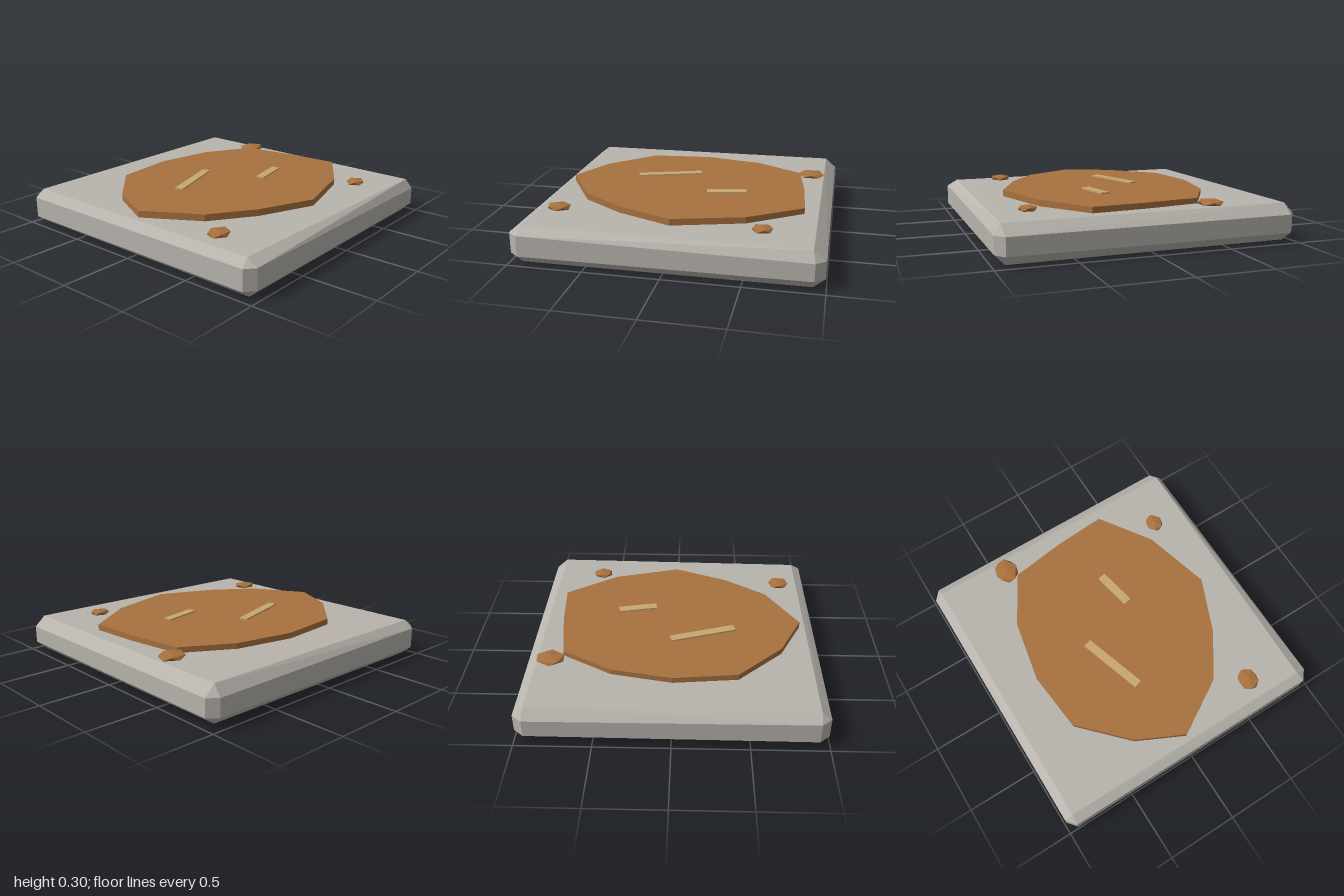
import * as THREE from 'three';
import { ConvexGeometry } from 'three/addons/geometries/ConvexGeometry.js';

const flat = (name, color) => {
  const m = new THREE.MeshStandardMaterial({ color });
  m.flatShading = true;
  m.name = name;
  return m;
};

export function createModel() {
  const model = new THREE.Group();
  const stone = flat('stone grey', 0xb8b4ad);
  const mud = flat('mud brown', 0xa8713f);
  const straw = flat('straw tan', 0xc8a772);
  const add = (name, geometry, material) => {
    const mesh = new THREE.Mesh(geometry, material);
    mesh.name = name;
    model.add(mesh);
    return mesh;
  };

  // Slab: each corner has a top, bottom, side and end point, so every edge is bevelled
  const corners = [
    // sx, sz, top x, top z, top y, shoulder y, skirt y, bottom y
    [-1, 1, 0.93, 0.91, 0.243, 0.20, 0.06, 0.0],
    [1, 1, 0.915, 0.94, 0.25, 0.185, 0.07, 0.005],
    [1, -1, 0.92, 0.925, 0.258, 0.19, 0.07, 0.012],
    [-1, -1, 0.93, 0.925, 0.25, 0.20, 0.06, 0.005],
  ];
  const points = [];
  for (const [sx, sz, tx, tz, ty, shoulder, skirt, by] of corners) {
    const p = (x, y, z) => points.push(new THREE.Vector3(sx * x, y, sz * z));
    p(tx, ty, tz);
    p(0.92, by, 0.92);
    for (const y of [shoulder, skirt]) {
      p(0.995, y, 0.93);
      p(0.93, y, 0.985);
    }
  }
  add('slab', new ConvexGeometry(points), stone);

  // Mud puddle: an irregular flat plate
  const outline = [
    [0, -0.66], [0.41, -0.58], [0.745, -0.385], [0.8, 0], [0.825, 0.36], [0.47, 0.6],
    [0, 0.73], [-0.38, 0.57], [-0.67, 0.37], [-0.89, 0], [-0.735, -0.32], [-0.43, -0.615],
  ];
  const shape = new THREE.Shape(outline.map(([x, z]) => new THREE.Vector2(x, -z)));
  const plate = new THREE.ExtrudeGeometry(shape, { depth: 0.05, bevelEnabled: false });
  add('mudPatch', plate.rotateX(-Math.PI / 2).translate(0, 0.242, 0), mud);

  // Straw strips lying on the mud
  for (const [x, z, length, angle] of [[-0.2, -0.16, 0.465, 0.31], [0.273, 0.152, 0.275, 0.2]]) {
    const strip = add('strawStrip', new THREE.BoxGeometry(length, 0.016, 0.06), straw);
    strip.position.set(x, 0.295, z);
    strip.rotation.y = angle;
  }

  // Squashed clods around the rim
  const tilt = Math.atan((Math.sqrt(5) - 1) / 2);
  for (const [x, y, z, rx, rz, turn] of [
    [0.826, 0.272, -0.437, 0.107, 0.09, 0.3],
    [-0.79, 0.264, 0.585, 0.088, 0.076, 0.9],
    [0.588, 0.264, 0.703, 0.077, 0.066, 0.5],
  ]) {
    const clod = new THREE.IcosahedronGeometry(1, 0).rotateZ(tilt).rotateY(turn);
    add('clod', clod.scale(rx, 0.024, rz), mud).position.set(x, y, z);
  }
  return model;
}
